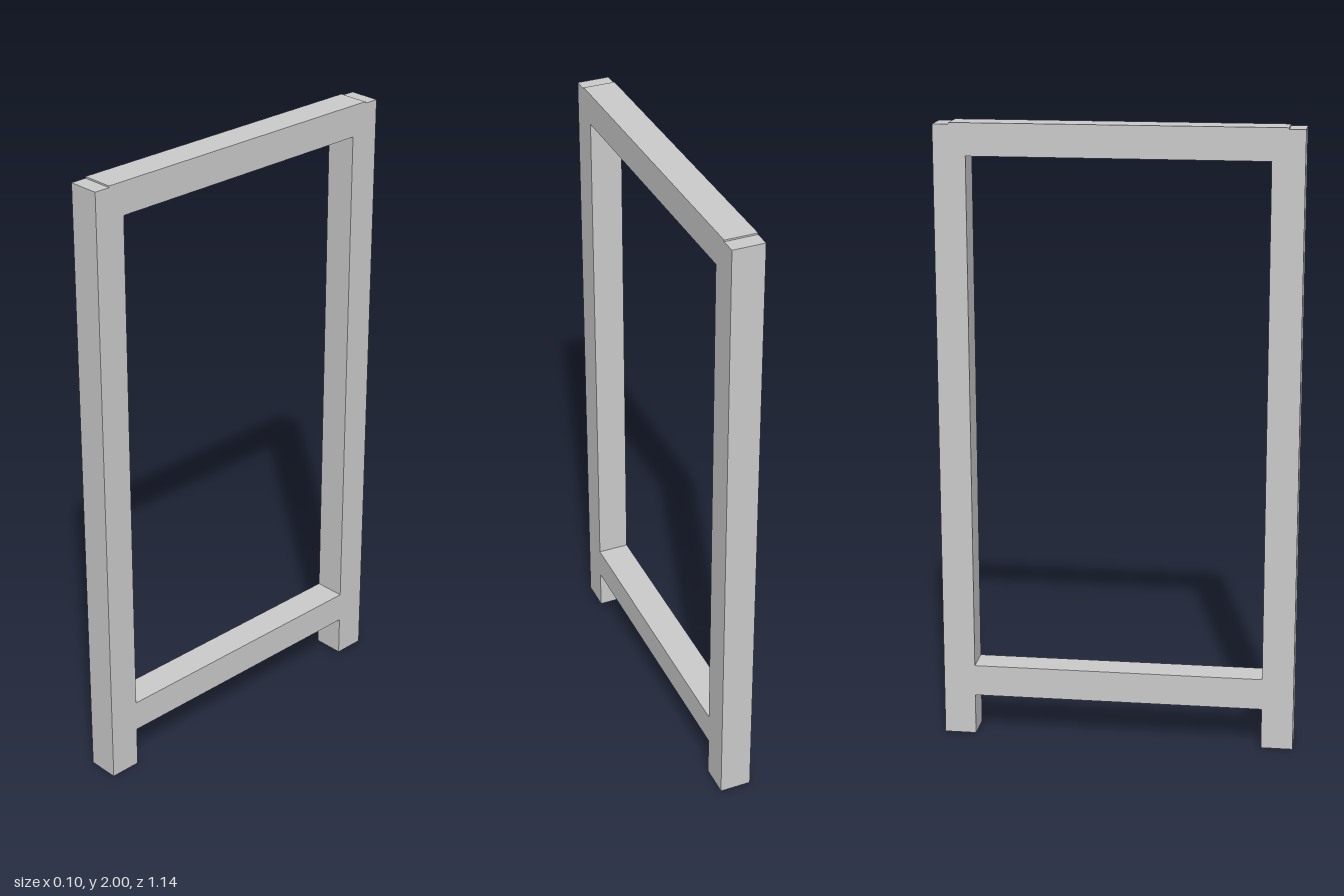
import * as THREE from 'three';

export function createModel() {
  const group = new THREE.Group();
  const material = new THREE.MeshStandardMaterial({ color: 0xcccccc, flatShading: true });
  const bar = 0.102; // square section shared by all members

  const addBar = (name, height, depth, y, z) => {
    const mesh = new THREE.Mesh(new THREE.BoxGeometry(bar, height, depth), material);
    mesh.name = name;
    mesh.position.set(0, y, z);
    group.add(mesh);
  };

  // Upright posts, front and back
  const postHeight = 1.995;
  const postZ = 0.52;
  for (const [name, side] of [['frontPost', 1], ['backPost', -1]]) {
    addBar(name, postHeight, bar, postHeight / 2, side * postZ);
  }

  // Rails run to the post centres; the top one stands slightly proud
  addBar('topRail', bar, 2 * postZ, 2 - bar / 2, 0);
  addBar('lowerRail', bar, 2 * postZ, 0.184, 0);

  return group;
}
